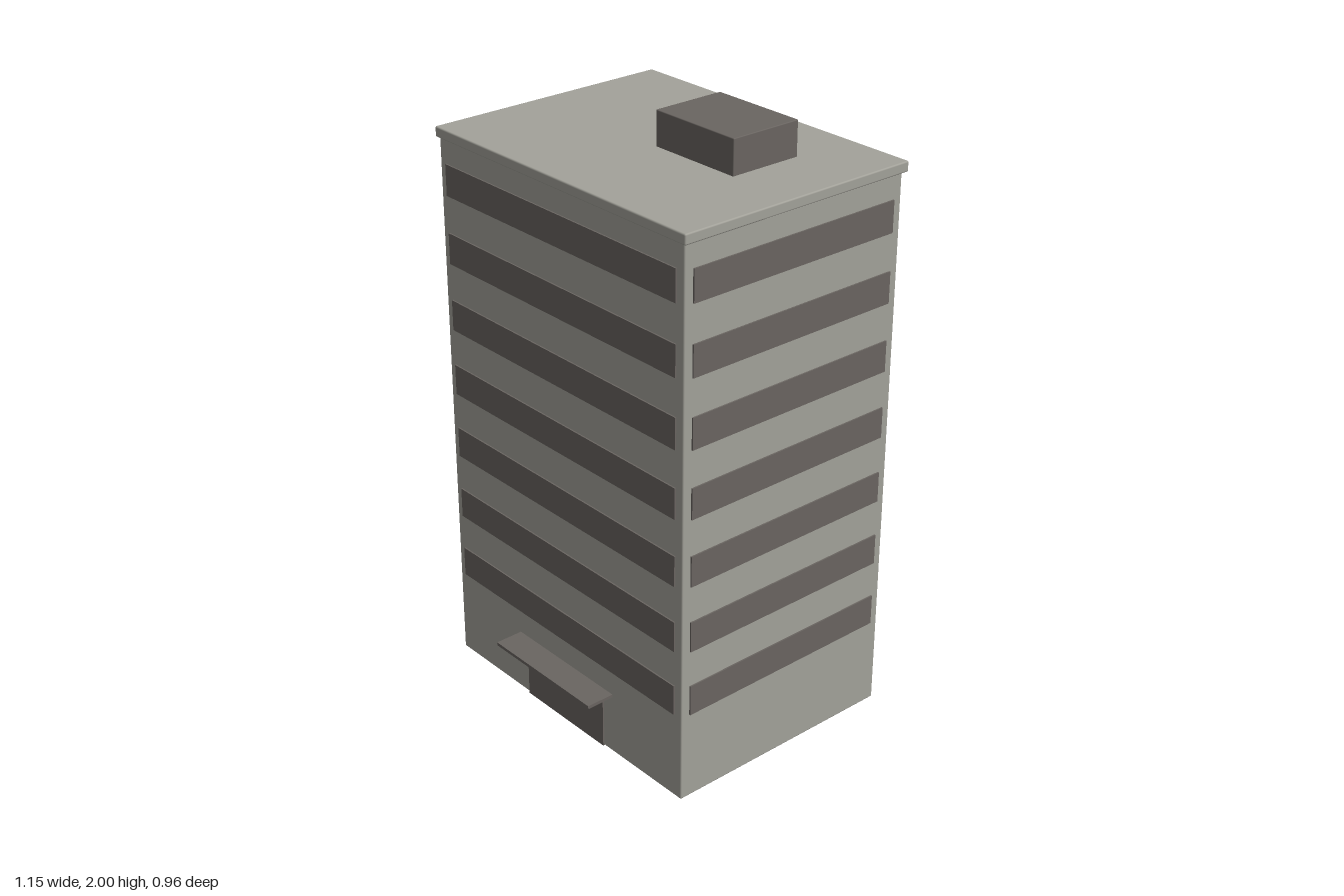
import * as THREE from 'three';
import { RoundedBoxGeometry } from 'three/addons/geometries/RoundedBoxGeometry.js';

export function createModel() {
  const concrete = new THREE.MeshStandardMaterial({ color: 0xa3a29a });
  concrete.name = 'concrete';
  const dark = new THREE.MeshStandardMaterial({ color: 0x6a6561 });
  dark.name = 'darkGlass';

  const building = new THREE.Group();
  building.name = 'officeBlock';

  // Box given by its lower and upper corners, with an optional softened edge
  function box(name, material, [x0, y0, z0], [x1, y1, z1], radius = 0, parent = building) {
    const size = [x1 - x0, y1 - y0, z1 - z0];
    const geometry = radius
      ? new RoundedBoxGeometry(...size, 2, radius)
      : new THREE.BoxGeometry(...size);
    const mesh = new THREE.Mesh(geometry, material);
    mesh.name = name;
    mesh.position.set((x0 + x1) / 2, (y0 + y1) / 2, (z0 + z1) / 2);
    parent.add(mesh);
    return mesh;
  }

  const W = 0.565, FRONT = 0.382, BACK = -0.466;

  // Tower, roof slab and rooftop plant room
  box('tower', concrete, [-W, 0, BACK], [W, 1.86, FRONT], 0.005);
  box('roofSlab', concrete, [-0.576, 1.852, -0.481], [0.576, 1.886, 0.39], 0.005);
  box('plantRoom', dark, [0, 1.88, -0.258], [0.338, 2, -0.003], 0.003);

  // Ribbon windows, wrapping all four sides of every upper floor
  const proud = 0.005, sink = 0.003;
  for (let floor = 0; floor < 7; floor++) {
    const y0 = 0.305 + floor * 0.2275, y1 = y0 + 0.104;
    const ribbon = new THREE.Group();
    ribbon.name = `windowRibbon${floor + 1}`;
    building.add(ribbon);
    box('frontWindow', dark, [-0.535, y0, FRONT - sink], [0.535, y1, FRONT + proud], 0, ribbon);
    box('backWindow', dark, [-0.535, y0, BACK - proud], [0.535, y1, BACK + sink], 0, ribbon);
    box('leftWindow', dark, [W - sink, y0, -0.434], [W + proud, y1, 0.35], 0, ribbon);
    box('rightWindow', dark, [-W - proud, y0, -0.434], [-W + sink, y1, 0.35], 0, ribbon);
  }

  // Entrance
  box('door', dark, [-0.194, 0, FRONT - sink], [0.194, 0.195, FRONT + proud]);
  box('canopy', dark, [-0.237, 0.208, FRONT - sink], [0.237, 0.219, 0.48]);

  return building;
}
